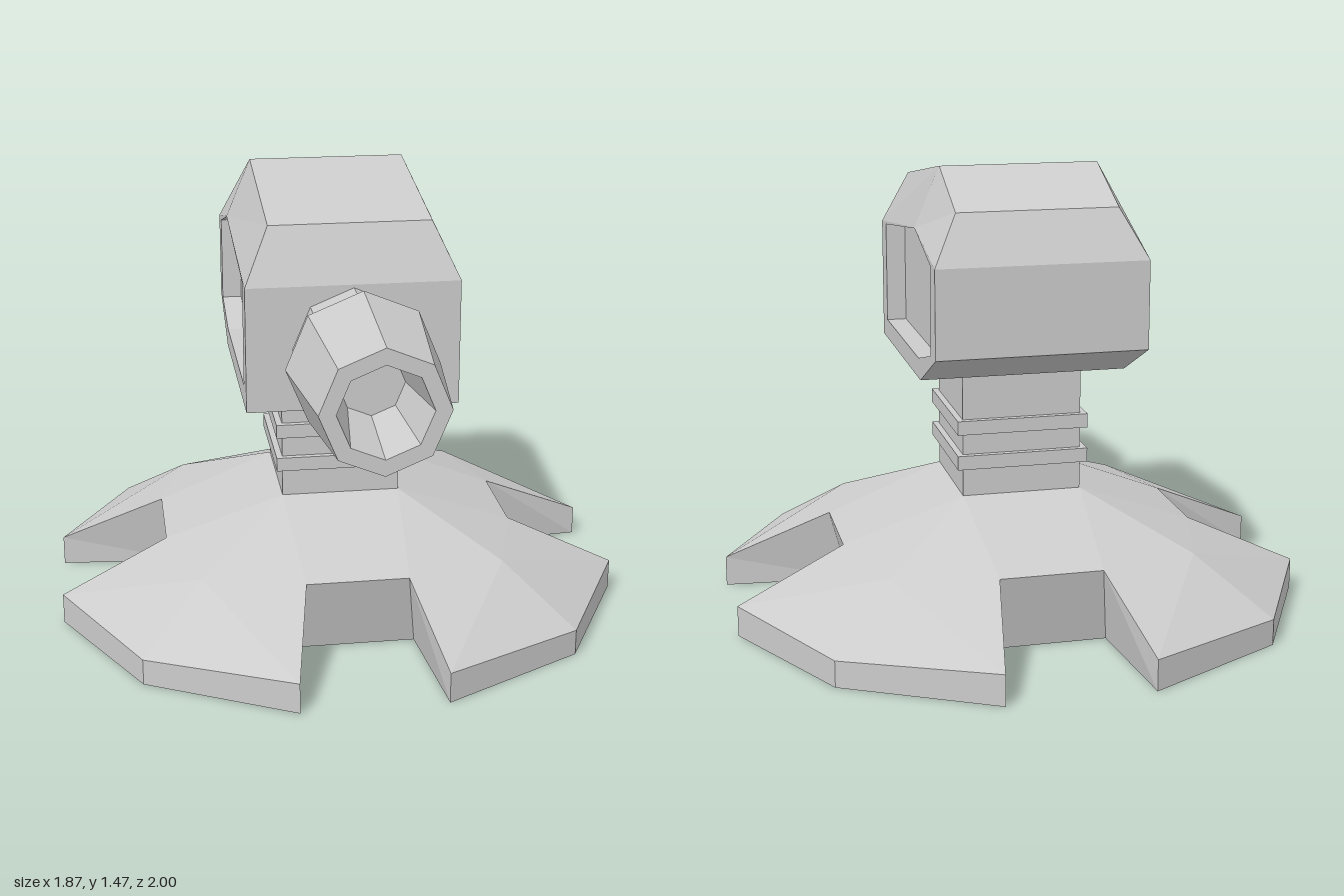
import * as THREE from 'three';

const grey = () => new THREE.MeshStandardMaterial({ color: 0xcccccc, flatShading: true });

function addMesh(parent, name, geometry, x = 0, y = 0, z = 0) {
  const mesh = new THREE.Mesh(geometry, grey());
  mesh.name = name;
  mesh.position.set(x, y, z);
  parent.add(mesh);
  return mesh;
}

// Fan-triangulates a list of polygons, each a list of [x, y, z] corners
function polygons(faces) {
  const pos = [];
  for (const f of faces)
    for (let i = 1; i < f.length - 1; i++) pos.push(...f[0], ...f[i], ...f[i + 1]);
  const g = new THREE.BufferGeometry();
  g.setAttribute('position', new THREE.Float32BufferAttribute(pos, 3));
  g.computeVertexNormals();
  return g;
}

// Four splayed feet: one quarter described, then turned four times
function baseGeometry() {
  const neck = [0.195, 0.4, 0.195], knee = [0.49, 0.25, 0.49], toe = [0.69, 0.085, 0.69];
  const swap = ([x, y, z]) => [z, y, x];
  const flip = ([x, y, z]) => [-x, y, z];
  const floor = ([x, , z]) => [x, 0, z];
  const inA = [0.585, 0.255, 0.165], inB = swap(inA);    // notch, top
  const lowA = [0.517, 0, 0.195], lowB = swap(lowA);     // notch, bottom
  const tipA = [0.935, 0.1, 0.23], tipB = swap(tipA);    // foot tips
  const quarter = [
    [neck, inB, knee], [neck, knee, inA],
    [flip(neck), flip(inB), inB, neck],
    [knee, inB, tipB, toe], [knee, toe, tipA, inA],
    [tipB, floor(tipB), floor(toe), toe], [toe, floor(toe), floor(tipA), tipA],
    [inB, lowB, floor(tipB), tipB], [tipA, floor(tipA), lowA, inA],
    [flip(inB), flip(lowB), lowB, inB],
    [floor(toe), floor(tipB), lowB, [0, 0, 0], lowA, floor(tipA)],
    [[0, 0, 0], lowB, flip(lowB)],
  ];
  const faces = [];
  let turned = quarter;
  for (let k = 0; k < 4; k++) {
    faces.push(...turned);
    turned = turned.map(f => f.map(([x, y, z]) => [-z, y, x]));
  }
  return polygons(faces);
}

// Faceted housing with a recessed panel on each side; profiles are [z, y]
function headGeometry() {
  const W = 0.335, ROOF = 0.255, FLOOR = 0.27;
  const outer = [[0.41, 0.8], [0.41, 1.2], [-0.21, 1.275], [-0.53, 1.2], [-0.53, 0.92], [-0.28, 0.8]];
  const inner = [[0.33, 0.865], [0.33, 1.2], [-0.21, 1.272], [-0.455, 1.2], [-0.455, 0.92], [-0.25, 0.865]];
  const roof = [[0.335, 1.375], [-0.21, 1.465], [-0.455, 1.355]];
  const at = (x, list) => list.map(([z, y]) => [x, y, z]);
  const faces = [];

  // Bands across the width
  const [o0, o1, , o3, o4, o5] = at(W, outer);
  const band = [o0, o1, ...at(ROOF, roof), o3, o4, o5];
  const flip = ([x, y, z]) => [-x, y, z];
  band.forEach((a, i) => {
    const b = band[(i + 1) % band.length];
    faces.push([a, b, flip(b), flip(a)]);
  });

  // Sides: bevels, panel rim, recess walls and recess floor
  for (const s of [1, -1]) {
    const o = at(s * W, outer), n = at(s * W, inner), f = at(s * FLOOR, inner), r = at(s * ROOF, roof);
    const side = [[o[1], o[2], r[1], r[0]], [o[2], o[3], r[2], r[1]], [...f].reverse()];
    for (let i = 0; i < 6; i++) {
      const j = (i + 1) % 6;
      side.push([o[i], n[i], n[j], o[j]], [n[i], f[i], f[j], n[j]]);
    }
    faces.push(...side.map(p => (s > 0 ? p : [...p].reverse())));
  }
  return polygons(faces);
}

export function createModel() {
  const model = new THREE.Group();
  model.name = 'turret';
  const cz = -0.063;

  addMesh(model, 'base', baseGeometry(), 0, 0, cz);

  // Square neck with two collars
  addMesh(model, 'neck', new THREE.BoxGeometry(0.39, 0.4, 0.39), 0, 0.6, cz);
  for (const y of [0.516, 0.632])
    addMesh(model, 'neckCollar', new THREE.BoxGeometry(0.43, 0.046, 0.43), 0, y, cz);

  addMesh(model, 'head', headGeometry());

  // Eight-sided barrel with a flared sleeve and tapered bore: [radius, z]
  const profile = [[0.19, 0.4], [0.19, 0.582], [0.235, 0.597], [0.19, 1], [0.14, 1], [0.1, 0.75], [0, 0.75]]
    .map(([r, z]) => new THREE.Vector2(r, z));
  addMesh(model, 'barrel', new THREE.LatheGeometry(profile, 8).rotateX(Math.PI / 2), 0, 1, 0);

  return model;
}
